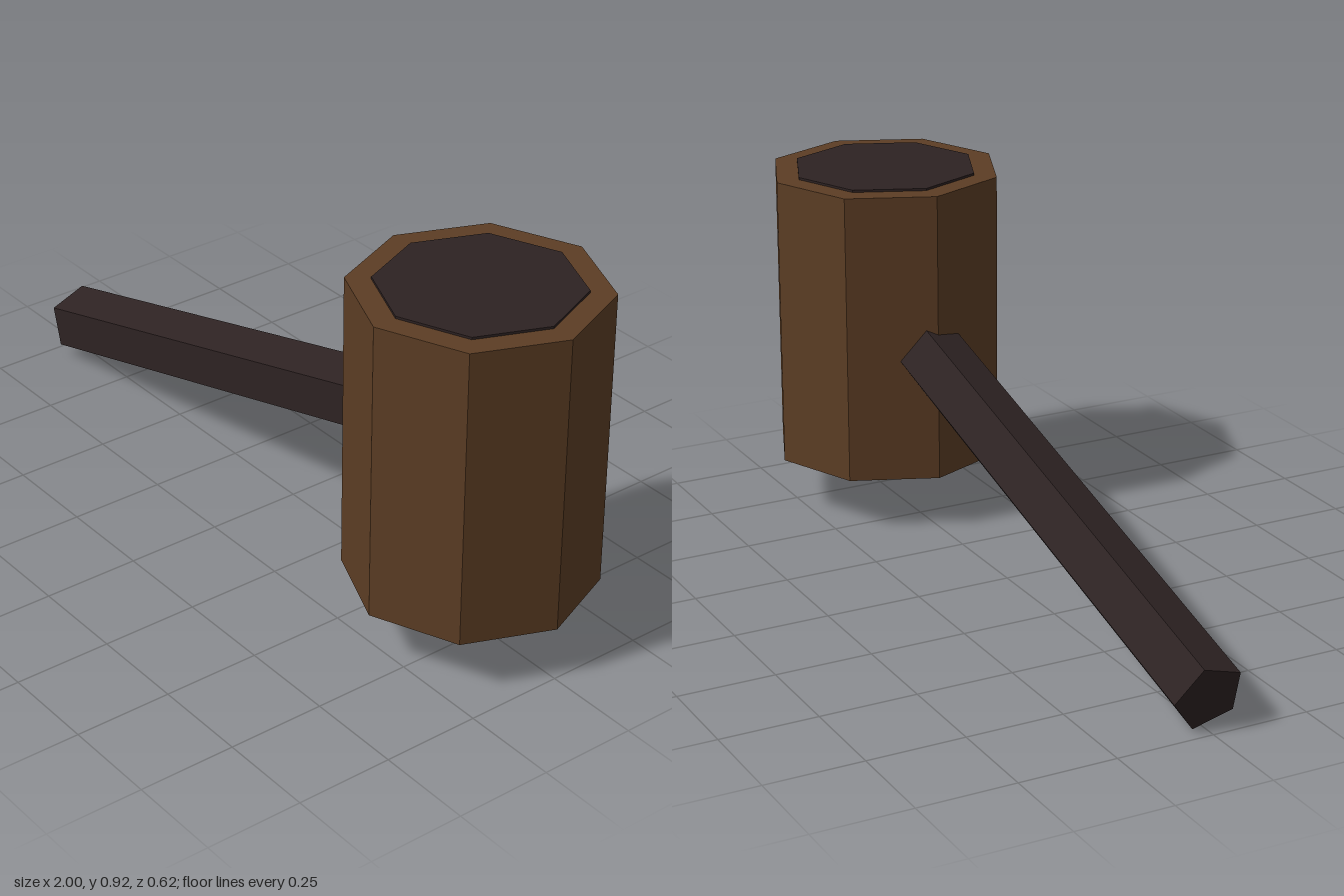
import * as THREE from 'three';

export function createModel() {
  const group = new THREE.Group();
  const wood = new THREE.MeshStandardMaterial({ color: 0x5c3d24, flatShading: true });
  wood.name = 'brown wood';
  const dark = new THREE.MeshStandardMaterial({ color: 0x2d2222, flatShading: true });
  dark.name = 'dark wood';

  const add = (name, geometry, material) => {
    const mesh = new THREE.Mesh(geometry, material);
    mesh.name = name;
    group.add(mesh);
    return mesh;
  };

  // Upright octagonal head with a thin inset striking plate on top
  const headX = 0.691;
  add('head', new THREE.CylinderGeometry(0.309, 0.309, 0.77, 8), wood).position.set(headX, 0.525, 0);
  add('topPlate', new THREE.CylinderGeometry(0.247, 0.247, 0.009, 8), dark).position.set(headX, 0.9115, 0);

  // Five-sided handle, one edge pointing back, rising from its free end into the head
  const length = 1.65;
  const handleGeometry = new THREE.CylinderGeometry(0.091, 0.091, length, 5, 1, false, Math.PI);
  handleGeometry.translate(0, length / 2, 0);
  const handle = add('handle', handleGeometry, dark);
  handle.position.set(-0.977, 0.0835, 0);
  handle.rotation.z = THREE.MathUtils.degToRad(15.4 - 90);

  return group;
}
